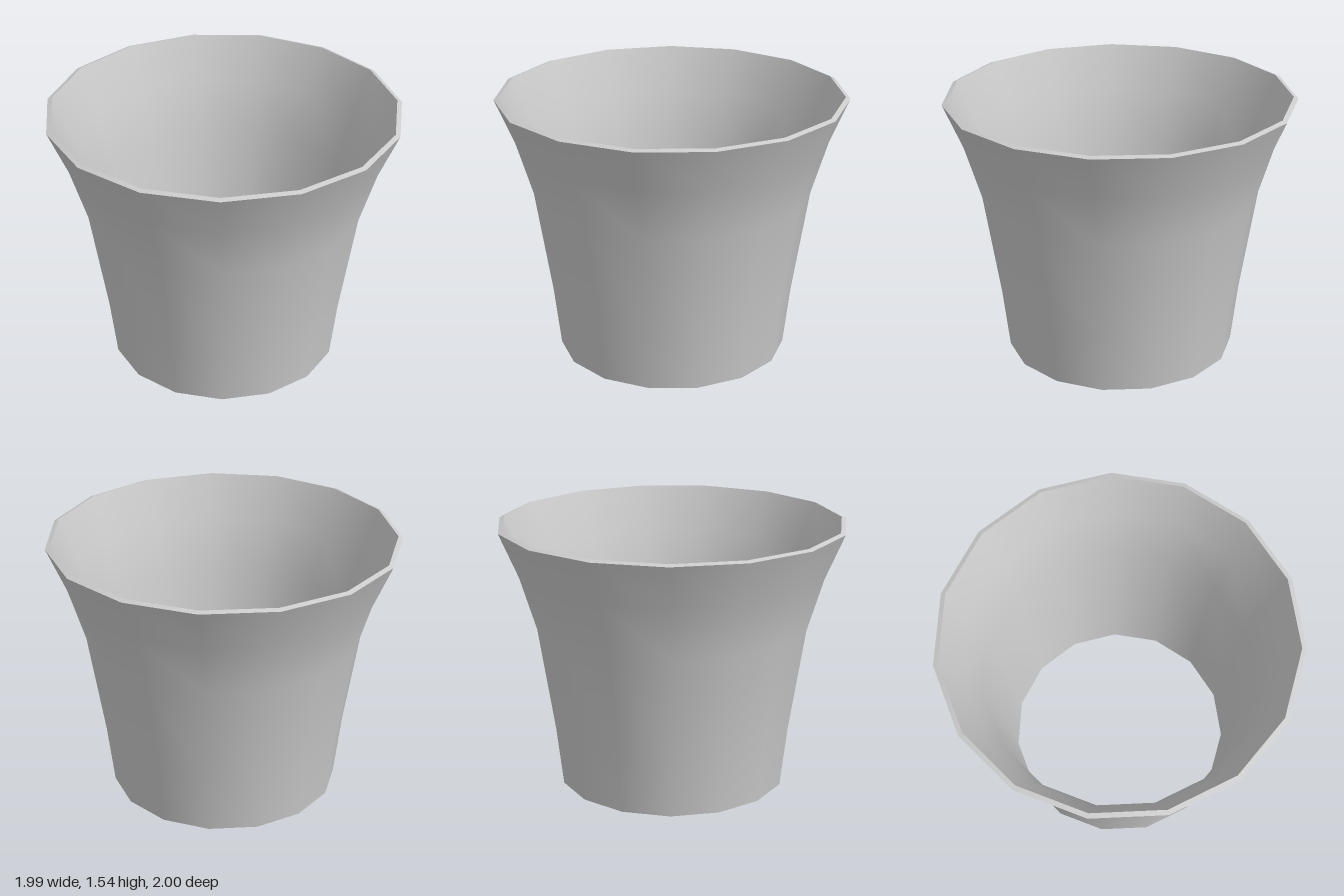
import * as THREE from 'three';

const SIDES = 15;

// Wall profiles as [radius, height], bottom to top
const OUTER = [[0.667, 0], [0.707, 0.35], [0.801, 0.96], [0.895, 1.27], [1.0055, 1.53]];
const INNER = [[0.647, 0.003], [0.686, 0.355], [0.778, 0.967], [0.871, 1.28], [0.979, 1.54]];

export function createModel() {
  const pot = new THREE.Group();
  pot.name = 'pot';
  const material = new THREE.MeshStandardMaterial({ color: 0xcccccc });

  // One smooth band turned around the axis, with a corner on +x
  const addBand = (name, profile) => {
    const points = profile.map(([r, y]) => new THREE.Vector2(r, y));
    const mesh = new THREE.Mesh(new THREE.LatheGeometry(points, SIDES, Math.PI / 2), material);
    mesh.name = name;
    pot.add(mesh);
  };

  // Separate bands keep the rim edges sharp while the walls stay smooth
  const last = OUTER.length - 1;
  addBand('outerWall', OUTER);
  addBand('topRim', [OUTER[last], INNER[last]]);
  addBand('innerWall', [...INNER].reverse());
  addBand('bottomRim', [INNER[0], OUTER[0]]);

  // The odd number of sides shifts the centre of the bounds slightly
  pot.position.x = -0.011;

  const model = new THREE.Group();
  model.add(pot);
  return model;
}
